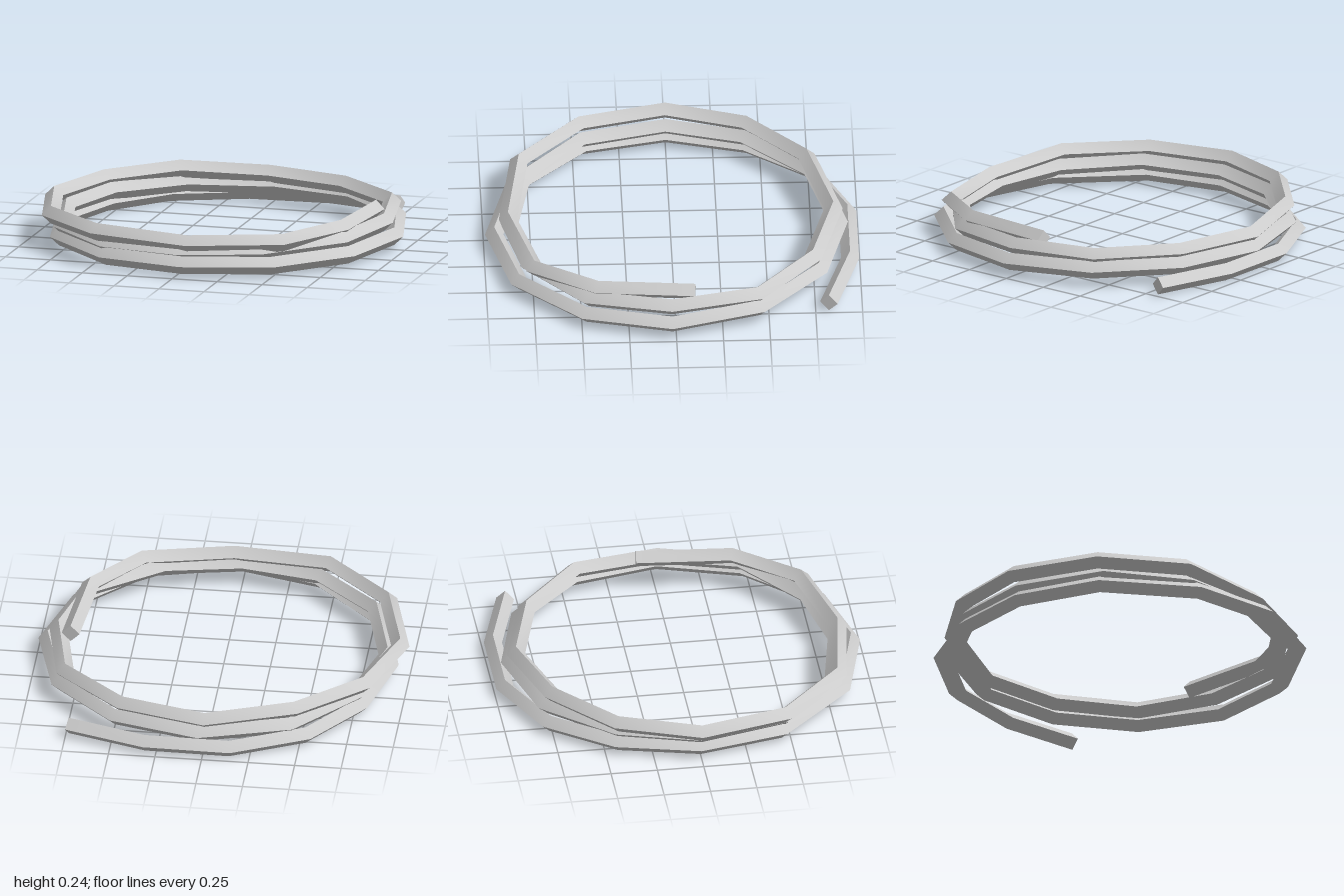
import * as THREE from 'three';

const R = 0.048; // half width of the square bar, set on its corner

// Centre line of the coil, from the loose tail to the inner end: x, y, z
const path = [
  // tail and lowest turn
  [0.735, 0.055, -0.82], [0.31, 0.053, -0.947], [-0.14, 0.049, -0.947], [-0.53, 0.052, -0.765],
  [-0.78, 0.055, -0.43], [-0.89, 0.06, 0], [-0.79, 0.06, 0.45], [-0.42, 0.06, 0.825],
  [0.04, 0.065, 0.943], [0.495, 0.066, 0.825], [0.825, 0.07, 0.475], [0.948, 0.08, 0.02],
  // middle turn
  [0.825, 0.093, -0.45], [0.49, 0.1, -0.775], [0.03, 0.1, -0.895], [-0.44, 0.11, -0.77],
  [-0.76, 0.12, -0.42], [-0.88, 0.12, 0], [-0.765, 0.12, 0.46], [-0.43, 0.11, 0.78],
  [0, 0.11, 0.86], [0.42, 0.12, 0.765], [0.78, 0.14, 0.46], [0.89, 0.152, 0.02],
  // upper turn
  [0.8, 0.16, -0.44], [0.455, 0.162, -0.745], [0, 0.165, -0.868], [-0.465, 0.192, -0.74],
  [-0.8, 0.185, -0.43], [-0.948, 0.18, 0], [-0.83, 0.18, 0.465], [-0.48, 0.182, 0.795],
  [0.045, 0.165, 0.87], [0.53, 0.175, 0.745], [0.765, 0.195, 0.41], [0.81, 0.195, -0.105],
].map((p) => new THREE.Vector3(...p));

// Four corners (outer, top, inner, bottom) at path point i, mitred at the bends
function ring(i) {
  const flat = (a, b) => b.clone().sub(a).setY(0).normalize();
  const before = flat(path[Math.max(i - 1, 0)], path[Math.max(i, 1)]);
  const last = path.length - 1;
  const after = flat(path[Math.min(i, last - 1)], path[Math.min(i + 1, last)]);
  const t = before.clone().add(after).normalize();
  const out = new THREE.Vector3(-t.z, 0, t.x).multiplyScalar(R / t.dot(after));
  const up = new THREE.Vector3(0, R, 0);
  return [out, up, out.clone().negate(), up.clone().negate()].map((c) => c.add(path[i]));
}

// Each side is its own strip: smooth along the bar, sharp at the corners
function barGeometry() {
  const rings = path.map((_, i) => ring(i));
  const pos = [], index = [];
  const add = (v) => pos.push(v.x, v.y, v.z) / 3 - 1;
  for (let s = 0; s < 4; s++) {
    rings.forEach((r, i) => {
      const a = add(r[s]), b = add(r[(s + 1) % 4]);
      if (i > 0) index.push(a - 2, a, b - 2, b - 2, a, b);
    });
  }
  // end caps
  for (const cap of [rings[0], [...rings.at(-1)].reverse()]) {
    const [a, b, c, d] = cap.map(add);
    index.push(a, b, c, a, c, d);
  }
  const geo = new THREE.BufferGeometry();
  geo.setAttribute('position', new THREE.Float32BufferAttribute(pos, 3));
  geo.setIndex(index);
  geo.computeVertexNormals();
  return geo;
}

export function createModel() {
  const group = new THREE.Group();
  const coil = new THREE.Mesh(barGeometry(), new THREE.MeshStandardMaterial({ color: 0xcccccc }));
  coil.name = 'coil';
  group.add(coil);
  return group;
}
